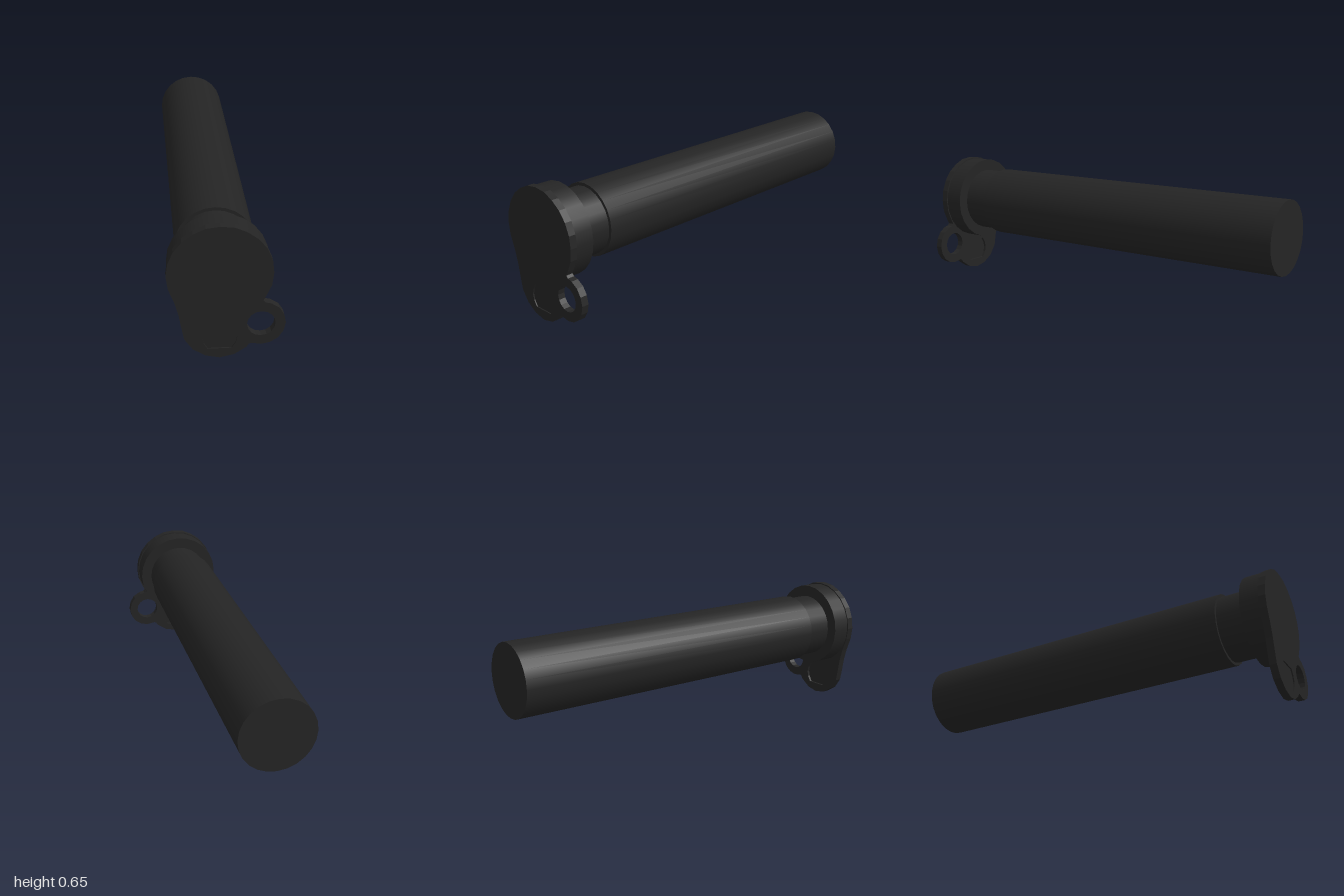
import * as THREE from 'three';

const AXIS_X = -0.03, AXIS_Y = 0.42;
const vec = ([x, y]) => new THREE.Vector2(x, y);

export function createModel() {
  const group = new THREE.Group();
  const black = new THREE.MeshStandardMaterial({ color: 0x242424 });
  black.name = 'matte black';

  const add = (name, geometry) => {
    const mesh = new THREE.Mesh(geometry, black);
    mesh.name = name;
    group.add(mesh);
  };

  // Round sections running along z
  const rod = (name, radius, z0, z1, y = AXIS_Y) => {
    const g = new THREE.CylinderGeometry(radius, radius, z1 - z0, 24);
    g.rotateX(Math.PI / 2);
    g.translate(AXIS_X, y, (z0 + z1) / 2);
    add(name, g);
  };
  rod('tube', 0.18, -1, 0.73);
  rod('neck', 0.165, 0.73, 0.87);
  rod('collar', 0.222, 0.87, 0.965, 0.423);

  // Flat slab between two depths
  const slab = (name, shape, z0, z1) => {
    const g = new THREE.ExtrudeGeometry(shape, { depth: z1 - z0, bevelEnabled: false });
    g.translate(0, 0, z0);
    add(name, g);
  };

  // Teardrop end plate with a ring lug at its lower left
  const outline = [
    [0.197, 0.423], [0.19, 0.482], [0.167, 0.538], [0.13, 0.585], [0.083, 0.62], [0.03, 0.644],
    [-0.03, 0.651], [-0.09, 0.644], [-0.143, 0.62], [-0.19, 0.585], [-0.227, 0.538], [-0.25, 0.482],
    [-0.258, 0.423], [-0.25, 0.363], [-0.223, 0.29], [-0.207, 0.23], [-0.197, 0.17], [-0.185, 0.105],
    [-0.148, 0.05], [-0.093, 0.014], [-0.03, 0], [0.033, 0.014], [0.087, 0.05], [0.097, 0.066],
    [0.108, 0.07], [0.15, 0.062], [0.19, 0.07], [0.225, 0.093], [0.247, 0.128], [0.256, 0.17],
    [0.247, 0.212], [0.225, 0.247], [0.19, 0.27], [0.165, 0.276], [0.155, 0.287], [0.167, 0.31],
    [0.19, 0.363],
  ];
  const plate = new THREE.Shape(outline.map(vec));

  const eye = [];
  for (let i = 0; i < 16; i++) {
    const a = (i / 16) * Math.PI * 2;
    eye.push(new THREE.Vector2(0.149 + 0.062 * Math.cos(a), 0.17 + 0.062 * Math.sin(a)));
  }
  const slot = [
    [-0.083, 0.164], [0.022, 0.164], [0.04, 0.135], [0.046, 0.107], [0.04, 0.078],
    [0.022, 0.049], [-0.083, 0.049], [-0.1, 0.078], [-0.106, 0.107], [-0.1, 0.135],
  ].map(vec);
  plate.holes.push(new THREE.Path(eye), new THREE.Path(slot));
  slab('endPlate', plate, 0.965, 1);

  // Thin web closing the slot, set in from both faces
  slab('slotWeb', new THREE.Shape(slot), 0.978, 0.994);

  return group;
}
